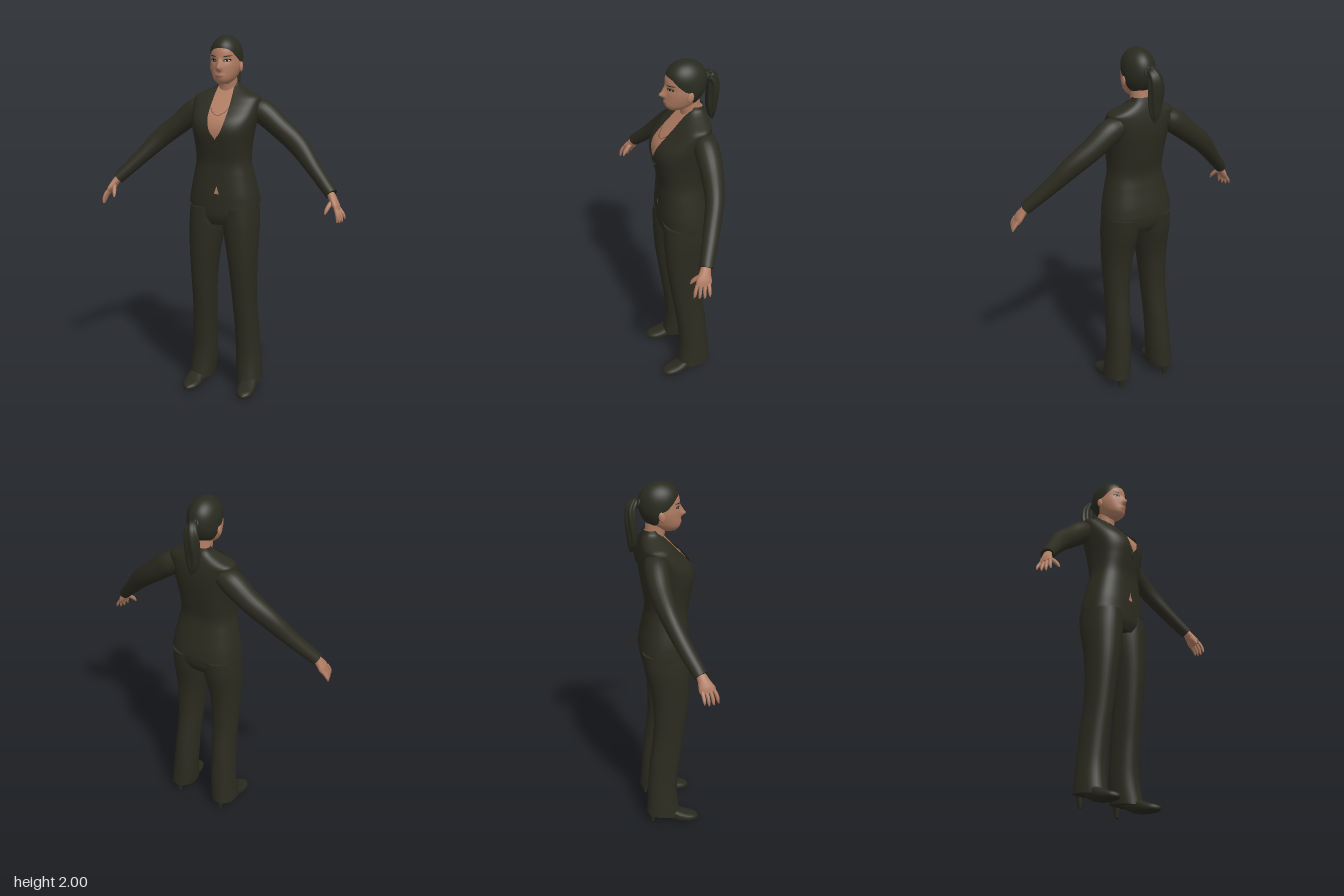
import * as THREE from 'three';

const mat = (name, color, side = THREE.FrontSide) => {
  const m = new THREE.MeshStandardMaterial({ color, side });
  m.name = name;
  return m;
};

// Smooth lookup in a table of rows [key, a, b, ...]
function at(table, k) {
  const n = table.length - 1;
  let i = 0;
  while (i < n - 1 && k > table[i + 1][0]) i++;
  const p = table[i], q = table[i + 1], h = q[0] - p[0];
  const t = Math.min(1, Math.max(0, (k - p[0]) / h));
  const o = table[Math.max(0, i - 1)], r = table[Math.min(n, i + 2)];
  return p.slice(1).map((a, j) => {
    const b = q[j + 1];
    const ma = (b - o[j + 1]) / (q[0] - o[0]) * h, mb = (r[j + 1] - a) / (r[0] - p[0]) * h;
    return a + t * t * (3 - 2 * t) * (b - a) + t * (1 - t) * ((1 - t) * ma - t * mb);
  });
}

// Skin rows of points; faces are turned away from the given centre
function skin(rows, { closed = true, caps = true, centre } = {}) {
  const m = rows[0].length;
  if (closed && caps) {
    const flat = r => {
      const c = r.reduce((s, p) => s.add(p), new THREE.Vector3()).divideScalar(m);
      return r.map(() => c);
    };
    const a = rows[0], b = rows[rows.length - 1];
    rows = [flat(a), a, ...rows, b, flat(b)];
  }
  const pts = rows.flat(), idx = [];
  for (let i = 0; i < rows.length - 1; i++)
    for (let j = 0; j < (closed ? m : m - 1); j++) {
      const a = i * m + j, b = i * m + (j + 1) % m;
      idx.push(a, a + m, b, b, a + m, b + m);
    }
  const mid = centre || pts.reduce((s, p) => s.add(p), new THREE.Vector3()).divideScalar(pts.length);
  let sum = 0;
  for (let i = 0; i < idx.length; i += 3) {
    const [a, b, c] = [0, 1, 2].map(k => pts[idx[i + k]].clone().sub(mid));
    sum += a.dot(b.cross(c));
  }
  if (sum < 0) idx.reverse();
  const g = new THREE.BufferGeometry().setFromPoints(pts);
  g.setIndex(idx);
  g.computeVertexNormals();
  return g;
}

function mirrored(geo) {
  const g = geo.clone().scale(-1, 1, 1);
  g.setIndex([...g.index.array].reverse());
  g.computeVertexNormals();
  return g;
}

const V = (x, y, z) => new THREE.Vector3(x, y, z);
const range = (n, f) => Array.from({ length: n }, (_, i) => f(i));
const pw = (v, e) => Math.sign(v) * Math.abs(v) ** e;
const TAU = Math.PI * 2;

// Limb along a path of [x, y, z, thickness radius, breadth radius]
function limb(pts, seg = 16, steps = 20, wave = 0) {
  const curve = new THREE.CatmullRomCurve3(pts.map(p => V(p[0], p[1], p[2])));
  const radii = pts.map((p, i) => [i / (pts.length - 1), p[3], p[4] ?? p[3]]);
  return skin(range(steps + 1, i => {
    const t = i / steps, c = curve.getPoint(t), d = curve.getTangent(t), [r, rb] = at(radii, t);
    const u = V(0, 0, 1).addScaledVector(d, -d.z).normalize(), v = V(0, 0, 0).crossVectors(d, u);
    return range(seg, j => {
      const a = j / seg * TAU, k = 1 + wave * Math.cos(a * 6 + t * 5);
      return c.clone().addScaledVector(u, Math.cos(a) * rb * k).addScaledVector(v, Math.sin(a) * r * k);
    });
  }));
}

// Torso: y, half width, front z, back z
const TORSO = [[1.095, .197, .155, -.122], [1.15, .19, .155, -.115], [1.25, .168, .15, -.095], [1.33, .151, .149, -.083],
  [1.42, .155, .166, -.098], [1.5, .168, .177, -.112], [1.56, .178, .16, -.12], [1.62, .185, .108, -.122],
  [1.66, .187, .068, -.118], [1.677, .182, .052, -.115], [1.7, .132, .03, -.11], [1.732, .068, 0, -.1], [1.757, .057, -.02, -.09]];
const OPENING = [[1.095, .06], [1.13, .025], [1.17, .012], [1.21, 0], [1.3, 0], [1.455, 0], [1.5, .03], [1.56, .049],
  [1.62, .054], [1.7, .05], [1.757, .042]];
const E = .8;
function torsoPoint(a, y, k = 1) {
  const [rx, zf, zb] = at(TORSO, y);
  return V(k * rx * pw(Math.cos(a), E), y, (zf + zb) / 2 + k * (zf - zb) / 2 * pw(Math.sin(a), E));
}
function torsoZ(x, y) {
  const [rx, zf, zb] = at(TORSO, y);
  return (zf + zb) / 2 + (zf - zb) / 2 * Math.max(0, 1 - Math.abs(x / rx) ** (2 / E)) ** (E / 2);
}

// Head: s, half width, front z, back z, with y falling as s squared
const HEAD = [[0, 0, -.005, -.005], [.2, .035, .044, -.052], [.4, .065, .082, -.09], [.55, .079, .099, -.107], [.7, .083, .103, -.111],
  [.8, .081, .104, -.1], [.9, .067, .106, -.075], [.96, .05, .103, -.04], [1, .028, .085, 0]];
const headY = s => 1.995 - .25 * s * s;
const bump = (x, y, cx, cy, wx, wy) => Math.exp(-(((Math.abs(x) - cx) / wx) ** 2) - ((y - cy) / wy) ** 2);
const face = (x, y) => .03 * bump(x, y, 0, 1.831, .013, .015) + .014 * bump(x, y, 0, 1.855, .01, .02)
  + .006 * bump(x, y, 0, 1.79, .024, .011) - .007 * bump(x, y, .038, 1.868, .02, .014);
function headPoint(a, y) {
  const [rx, zf, zb] = at(HEAD, Math.sqrt((1.995 - y) / .25)), s = Math.sin(a), x = rx * Math.cos(a);
  return V(x, y, (zf + zb) / 2 + (zf - zb) / 2 * s + (s > 0 ? face(x, y) * s : 0));
}
function headZ(x, y) {
  const [rx] = at(HEAD, Math.sqrt((1.995 - y) / .25));
  return headPoint(Math.acos(Math.min(1, Math.max(-1, x / rx))), y).z;
}
const facePatch = (cx, cy, rx, ry, off, tilt = 0) => skin([0, .5, 1].map(r => range(20, j => {
  const a = j / 20 * TAU, x = cx + r * rx * Math.cos(a), y = cy + r * ry * Math.sin(a) + tilt * (x - cx);
  return V(x, y, headZ(x, y) + off);
})), { caps: false, centre: V(0, 1.86, -2) });

export function createModel() {
  const model = new THREE.Group();
  const suit = mat('dark suit', 0x2c2b20, THREE.DoubleSide), hair = mat('dark hair', 0x292a1f, THREE.DoubleSide);
  const leather = mat('shoe leather', 0x29291f), skinMat = mat('skin', 0xb07c62);
  const lip = mat('lips', 0x9c6150), dark = mat('lashes', 0x1c1814), white = mat('eye white', 0xc4bcb0), metal = mat('necklace', 0x7a5240);
  const add = (name, geo, m) => {
    const mesh = new THREE.Mesh(geo, m);
    mesh.name = name;
    model.add(mesh);
    return mesh;
  };
  const pair = (name, geo, m) => {
    add(name + 'Left', geo, m);
    add(name + 'Right', mirrored(geo), m);
  };

  // Jacket body, open at the neckline and below the button
  add('jacket', skin(range(67, i => {
    const y = 1.095 + i * .662 / 66, w = Math.max(0, at(OPENING, y)[0]);
    const d = Math.asin(Math.min(1, (w / at(TORSO, y)[0]) ** (1 / E)));
    return range(65, j => torsoPoint(Math.PI / 2 + d + (TAU - 2 * d) * j / 64, y));
  }), { closed: false }), suit);

  // Lapels with a notch, lying on the jacket front
  const LAPEL = [[1.455, .004], [1.52, .058], [1.58, .1], [1.62, .125], [1.632, .095], [1.66, .085], [1.7, .07], [1.73, .055]];
  pair('lapel', skin(range(31, i => {
    const y = 1.455 + i * .27 / 30, w = Math.max(0, at(OPENING, y)[0]), o = Math.max(w + .002, at(LAPEL, y)[0]);
    return range(9, j => {
      const x = w + (o - w) * j / 8;
      return V(x, y, torsoZ(x, y) + .006);
    });
  }), { closed: false, centre: V(0, 1.6, -2) }), suit);
  const button = add('jacketButton', new THREE.CylinderGeometry(.009, .009, .008, 16).rotateX(Math.PI / 2), leather);
  button.position.set(.008, 1.435, torsoZ(0, 1.435) + .002);

  // Chest and neck
  add('chest', skin(range(30, i => range(48, j => torsoPoint(j / 48 * TAU, 1.15 + i * .585 / 29, .95)))), skinMat);
  const NECK = [[1.64, .06, .03, -.095], [1.7, .053, .02, -.09], [1.75, .05, .028, -.082], [1.81, .052, .045, -.075]];
  add('neck', skin(range(12, i => {
    const y = 1.64 + i * .17 / 11, [rx, f, b] = at(NECK, y);
    return range(28, j => V(rx * Math.cos(j / 28 * TAU), y, (f + b) / 2 + (f - b) / 2 * Math.sin(j / 28 * TAU)));
  })), skinMat);
  add('necklace', new THREE.TubeGeometry(new THREE.CatmullRomCurve3(range(9, i => {
    const x = (i - 4) * .0125, y = 1.585 + 14 * x * x;
    return V(x, y, torsoZ(x, y) - .004);
  })), 24, .0018, 6), metal);

  // Sleeves and hands
  pair('sleeve', limb([[.135, 1.62, -.052, .05, .055], [.19, 1.594, -.052, .066, .064], [.29, 1.515, -.045, .06, .058],
    [.4, 1.427, -.02, .055, .048], [.51, 1.312, .035, .041, .042], [.622, 1.197, .1, .033, .036]], 24, 30), suit);
  pair('palm', limb([[.61, 1.21, .095, .02, .024], [.632, 1.178, .11, .02, .029], [.652, 1.145, .122, .018, .04],
    [.664, 1.122, .13, .012, .038]]), skinMat);
  for (let i = 0; i < 4; i++) {
    const z = .1 + .02 * i, drop = [.012, 0, -.002, .004][i];
    pair('finger' + (i + 1), limb([[.66, 1.133, z, .01], [.68 - .003 * i, 1.103 + drop / 2, z + .004 + .003 * i, .0095],
      [.693 - .006 * i, 1.078 + drop, z + .006 + .004 * i, .008], [.698 - .008 * i, 1.062 + drop, z + .007 + .005 * i, .003]], 8, 8), skinMat);
  }
  pair('thumb', limb([[.637, 1.17, .115, .014], [.622, 1.145, .148, .012], [.613, 1.122, .168, .01], [.609, 1.104, .178, .004]], 8, 8), skinMat);

  // Trousers: hips, then legs as y, inner x, outer x, front z, back z
  const HIPS = [[.985, .15, .13, -.08], [1.03, .188, .149, -.106], [1.1, .19, .151, -.114], [1.16, .183, .151, -.108]];
  add('hips', skin(range(12, i => {
    const y = .985 + i * .175 / 11, [rx, f, b] = at(HIPS, y);
    return range(40, j => V(rx * pw(Math.cos(j / 40 * TAU), .85), y, (f + b) / 2 + (f - b) / 2 * pw(Math.sin(j / 40 * TAU), .85)));
  })), suit);
  const LEG = [[.055, .075, .217, .095, -.103], [.1, .07, .214, .085, -.1], [.2, .065, .204, .075, -.095], [.3, .063, .197, .08, -.088],
    [.4, .061, .192, .09, -.08], [.5, .056, .187, .104, -.066], [.6, .05, .187, .118, -.056], [.7, .042, .19, .131, -.056],
    [.8, .03, .193, .142, -.062], [.9, .013, .196, .148, -.08], [.98, .002, .197, .151, -.1], [1.08, -.002, .19, .15, -.113]];
  pair('trouserLeg', skin(range(36, i => {
    const y = .055 + i * 1.025 / 35, [a, b, f, k] = at(LEG, y);
    return range(32, j => V((a + b) / 2 + (b - a) / 2 * pw(Math.cos(j / 32 * TAU), .9), y + (i ? 0 : -.012 * Math.sin(j / 32 * TAU)),
      (f + k) / 2 + (f - k) / 2 * pw(Math.sin(j / 32 * TAU), .9)));
  })), suit);

  // Shoes: z, centre x, half width, sole y, top y
  const SHOE = [[-.092, .148, .014, .06, .085], [-.075, .148, .034, .054, .1], [-.03, .15, .036, .045, .11], [.03, .157, .042, .016, .105],
    [.08, .161, .05, .003, .078], [.13, .163, .05, 0, .056], [.17, .165, .04, .002, .044], [.192, .166, .022, .006, .034], [.2, .166, .006, .012, .024]];
  pair('shoe', skin(range(32, i => {
    const z = -.092 + i * .292 / 31, [cx, rx, b, t] = at(SHOE, z);
    return range(24, j => V(cx + rx * pw(Math.cos(j / 24 * TAU), .8), (b + t) / 2 + (t - b) / 2 * pw(Math.sin(j / 24 * TAU), .8), z));
  })), leather);
  pair('heel', new THREE.CylinderGeometry(.022, .011, .065, 14).translate(.148, .0325, -.07), leather);

  // Head and face
  add('head', skin(range(61, i => range(72, j => headPoint(j / 72 * TAU, headY(i / 60))))), skinMat);
  pair('ear', new THREE.SphereGeometry(1, 14, 10).scale(.009, .028, .017).rotateX(-.2).translate(.084, 1.835, -.004), skinMat);
  pair('lashes', facePatch(.038, 1.871, .019, .0075, .0015, .1), dark);
  pair('eyeWhite', facePatch(.038, 1.87, .014, .0045, .003, .1), white);
  pair('iris', facePatch(.038, 1.87, .005, .0048, .0042), dark);
  pair('eyebrow', facePatch(.04, 1.893, .021, .0028, .0015, .12), hair);
  add('lips', facePatch(0, 1.789, .023, .0075, .0015), lip);

  // Hair cap, swept back above the ears
  const HAIRLINE = [[-1, 1.78], [-.7, 1.785], [-.35, 1.8], [0, 1.858], [.2, 1.866], [.5, 1.892], [.8, 1.924], [1, 1.934]];
  add('hairCap', skin(range(31, i => range(72, j => {
    const a = j / 72 * TAU, v = i / 30, c = V(0, 1.87, 0);
    const p = headPoint(a, 1.995 - (1.995 - at(HAIRLINE, Math.sin(a))[0]) * v * v);
    return c.add(p.sub(c).multiplyScalar(1.045 - .035 * v ** 8));
  })), { caps: false, centre: V(0, 1.87, 0) }), hair);

  // Ponytail
  add('ponytail', limb([[0, 1.885, -.095, .018], [-.006, 1.903, -.128, .024, .022], [-.014, 1.875, -.154, .036, .028], [-.02, 1.81, -.158, .043, .031],
    [-.02, 1.74, -.152, .04, .029], [-.018, 1.68, -.152, .029, .022], [-.014, 1.637, -.156, .007, .007]], 36, 36, .09), hair);
  const tie = add('hairTie', new THREE.TorusGeometry(.023, .007, 8, 20), leather);
  tie.position.set(-.003, 1.896, -.116);
  tie.rotation.x = .4;
  return model;
}
